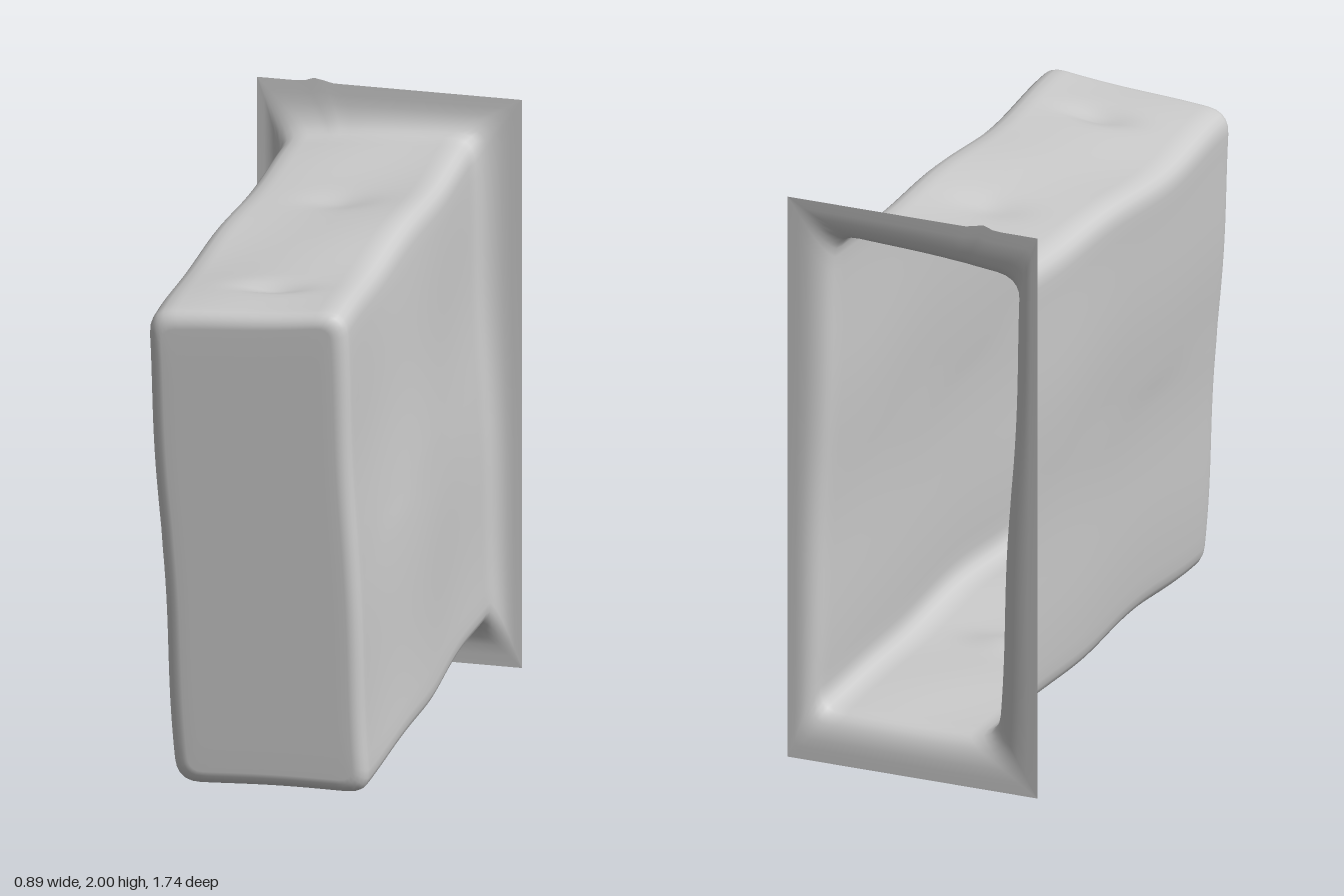
import * as THREE from 'three';

const SIDE = 28; // steps along each straight side
const ARC = 5; // steps around each corner

// corners run anticlockwise as seen from the front
const FLANGE = [[-0.45, 0], [0.445, 0], [0.445, 1.985], [-0.45, 1.985]];
const BACK = [[-0.285, 0.175], [0.35, 0.165], [0.295, 1.85], [-0.36, 1.795]];
const FRONT = [[-0.285, 0.155], [0.37, 0.17], [0.275, 1.835], [-0.4, 1.775]];

const mix = THREE.MathUtils.lerp;
const bump = (x, c, w) => Math.exp(-(((x - c) / w) ** 2));
const mixQuad = (a, b, t) => a.map((p, i) => [mix(p[0], b[i][0], t), mix(p[1], b[i][1], t)]);
const insetQuad = (q, d) => q.map(([x, y]) => [x - Math.sign(x) * d, y - Math.sign(y - 1) * d]);

// loop of points around a four-cornered outline with rounded corners
function outline(quad, r) {
  const c = quad.map((p) => new THREE.Vector2(...p));
  const toward = (a, b) => a.clone().add(b.clone().sub(a).setLength(r));
  const pts = [];
  for (let i = 0; i < 4; i++) {
    const prev = c[(i + 3) % 4], cur = c[i], next = c[(i + 1) % 4];
    const start = toward(cur, prev), end = toward(cur, next), nextStart = toward(next, cur);
    pts.push(...new THREE.QuadraticBezierCurve(start, cur, end).getPoints(ARC));
    for (let k = 1; k < SIDE; k++) pts.push(end.clone().lerp(nextStart, k / SIDE));
  }
  return pts;
}

// hand-formed unevenness of the walls, plus two shallow dents on top
function dentWall(p, z) {
  const { x, y } = p;
  const sideways = 0.007 * Math.sin(5.5 * z + 1.5 * y) + 0.005 * Math.sin(7 * y + 2);
  const upward = 0.008 * Math.cos(8 * z + 0.4) + 0.004 * Math.sin(9 * x + 5 * z);
  p.x += sideways * (x > 0 ? 0.8 : 1);
  p.y += upward * (y > 1 ? 1 : -0.8);
  if (y > 1.7) {
    p.y -= 0.028 * bump(x, -0.03, 0.11) * (bump(z, 0.58, 0.05) + 0.6 * bump(z, -0.27, 0.08));
  }
  if (y < 0.3) p.y += 0.02 * bump(x, 0.03, 0.12) * bump(z, -0.05, 0.07);
  return p;
}

function buildRings() {
  const rings = [];
  const add = (pts, z) => rings.push(pts.map((p) => new THREE.Vector3(p.x, p.y, z)));
  const wallQuad = (z) => mixQuad(BACK, FRONT, THREE.MathUtils.smoothstep(z, -0.85, 0.1));

  // flange, curving into the mouth of the box
  const throat = [[0, -0.868], [0.25, -0.866], [0.45, -0.863], [0.62, -0.856],
    [0.77, -0.845], [0.88, -0.83], [0.96, -0.81]];
  for (const [t, z] of throat) {
    const inner = outline(wallQuad(z), 0.09).map((p) => dentWall(p, z));
    const outer = outline(FLANGE, 0);
    add(outer.map((p, i) => {
      if (p.y > 1.98) p.y += 0.015 * bump(p.x, -0.25, 0.03);
      return p.lerp(inner[i], t);
    }), z);
  }

  // long walls
  const steps = 44, edge = 0.05, end = 0.87;
  for (let i = 0; i <= steps; i++) {
    const z = mix(-0.78, end - edge, i / steps);
    add(outline(wallQuad(z), 0.08).map((p) => dentWall(p, z)), z);
  }

  // rounded front edge
  for (let i = 1; i <= 5; i++) {
    const a = (i / 5) * Math.PI / 2, d = edge * (1 - Math.cos(a));
    const z = end - edge + edge * Math.sin(a);
    add(outline(insetQuad(FRONT, d), 0.08 - d * 0.6).map((p) => dentWall(p, z)), z);
  }

  // front face, closing towards its middle
  const rim = rings[rings.length - 1];
  const middle = new THREE.Vector3(-0.01, 0.985, end);
  for (const t of [0.15, 0.35, 0.6, 0.8, 1]) {
    rings.push(rim.map((p) => p.clone().lerp(middle, t)));
  }
  return rings;
}

function skin(rings) {
  const n = rings[0].length, index = [];
  for (let r = 0; r < rings.length - 1; r++) {
    for (let i = 0; i < n; i++) {
      const a = r * n + i, b = r * n + ((i + 1) % n);
      index.push(a, b, b + n, a, b + n, a + n);
    }
  }
  const geometry = new THREE.BufferGeometry().setFromPoints(rings.flat());
  geometry.setIndex(index);
  geometry.computeVertexNormals();
  // the closing point has no area of its own on every spoke
  const normal = geometry.attributes.normal;
  for (let i = normal.count - n; i < normal.count; i++) normal.setXYZ(i, 0, 0, 1);
  return geometry;
}

export function createModel() {
  const group = new THREE.Group();
  group.name = 'flangedBox';
  const material = new THREE.MeshStandardMaterial({ color: 0xcccccc, side: THREE.DoubleSide });
  const shell = new THREE.Mesh(skin(buildRings()), material);
  shell.name = 'hollowBoxWithFlange';
  group.add(shell);
  return group;
}
